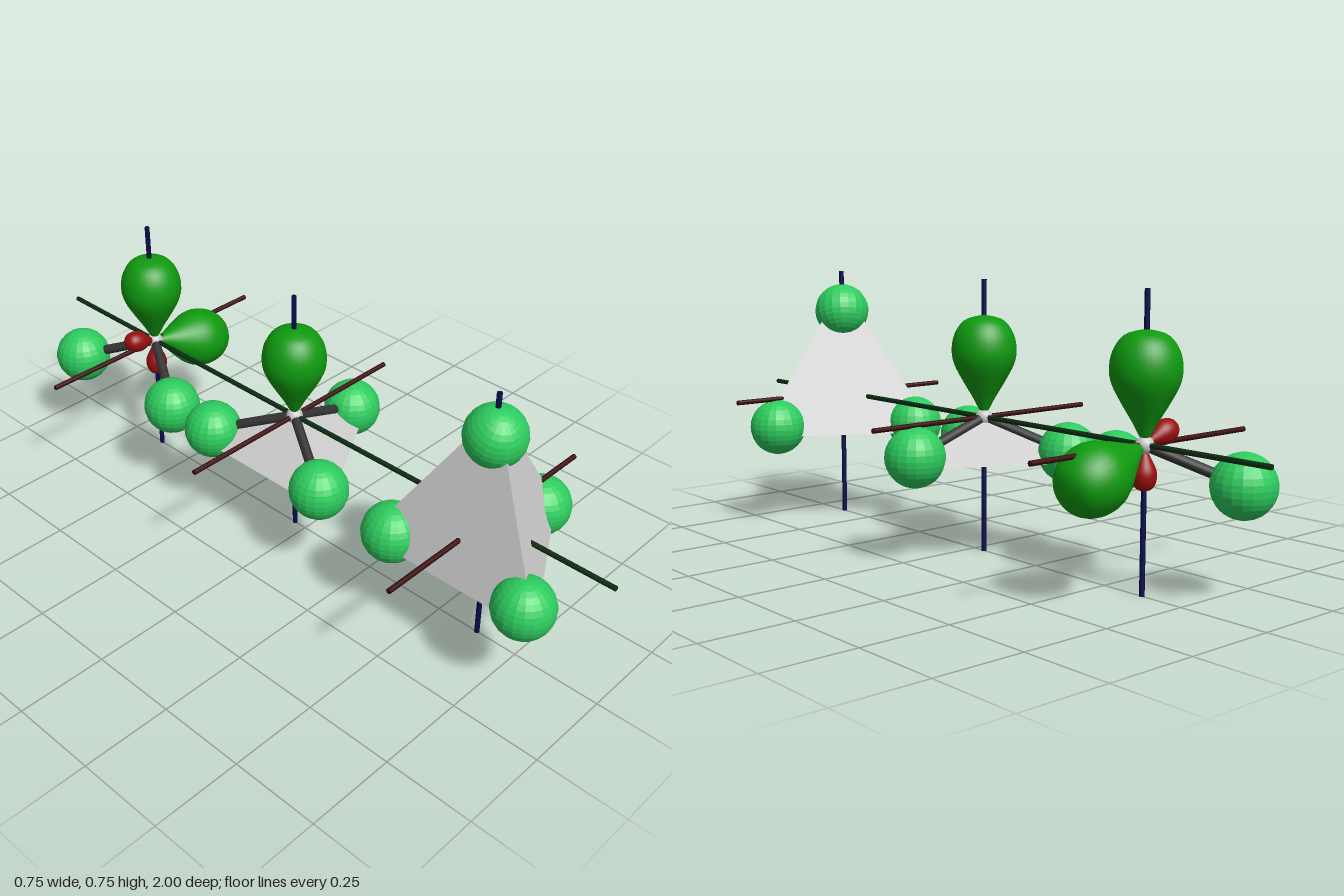
import * as THREE from 'three';
import { ConvexGeometry } from 'three/addons/geometries/ConvexGeometry.js';

const UP = new THREE.Vector3(0, 1, 0);
const mat = (color, extra = {}) => {
  const m = new THREE.MeshStandardMaterial({ color });
  return Object.assign(m, extra);
};

// The four tetrahedral directions: up, +x, and two toward -x
const S = Math.sqrt(8) / 3;
const DIRS = [UP.clone()];
for (let i = 0; i < 3; i++) {
  const a = (i * Math.PI * 2) / 3;
  DIRS.push(new THREE.Vector3(S * Math.cos(a), -1 / 3, S * Math.sin(a)));
}

const BOND = 0.252, CORNER = 0.327, AXIS = 0.746, CENTRE_Y = 0.373;

export function createModel() {
  const model = new THREE.Group();
  model.name = 'tetrahedralShapes';

  const atomMat = mat(0x2dcc5e, { flatShading: true });
  const lobeMat = mat(0x0f9a0f);
  const tailMat = mat(0x990f0f);
  const rodMat = mat(0x333333);
  const greyMat = mat(0xcccccc);
  const solidMat = mat(0xcccccc, { flatShading: true });
  const axisMats = { x: mat(0x3a0a0a), y: mat(0x0a0a4a), z: mat(0x0c2c12) };

  // Teardrop profile, unit length and unit radius
  const drop = new THREE.SplineCurve([
    [0, 0], [0.16, 0.08], [0.36, 0.2], [0.66, 0.36], [0.92, 0.52],
    [1, 0.66], [0.9, 0.82], [0.58, 0.95], [0, 1],
  ].map(([x, y]) => new THREE.Vector2(x, y))).getPoints(28);
  drop.forEach((p) => { p.x = Math.max(p.x, 0); });
  const dropGeo = new THREE.LatheGeometry(drop, 32);

  const atomGeo = new THREE.SphereGeometry(0.081, 20, 16);
  const coreGeo = new THREE.SphereGeometry(0.023, 16, 12);
  const rodGeo = new THREE.CylinderGeometry(0.014, 0.014, BOND, 12);
  const axisGeo = new THREE.CylinderGeometry(0.007, 0.007, AXIS, 12);

  function add(parent, name, geo, material) {
    const mesh = new THREE.Mesh(geo, material);
    mesh.name = name;
    parent.add(mesh);
    return mesh;
  }

  function addAxes(g) {
    add(g, 'xAxis', axisGeo, axisMats.x).rotation.z = Math.PI / 2;
    add(g, 'yAxis', axisGeo, axisMats.y);
    add(g, 'zAxis', axisGeo, axisMats.z).rotation.x = Math.PI / 2;
  }

  // Outer ball joined to the core by a rod
  function addBond(g, dir) {
    const rod = add(g, 'bondRod', rodGeo, rodMat);
    rod.quaternion.setFromUnitVectors(UP, dir);
    rod.position.copy(dir).multiplyScalar(BOND / 2);
    const ball = add(g, 'outerBall', atomGeo, atomMat);
    ball.position.copy(dir).multiplyScalar(BOND);
    if (dir.y > 0.9) ball.rotation.set(0.35, 0, 0.2);
  }

  // Large lobe with its small opposite lobe
  function addLobe(g, dir) {
    const lobe = add(g, 'largeLobe', dropGeo, lobeMat);
    lobe.scale.set(0.088, 0.278, 0.088);
    lobe.quaternion.setFromUnitVectors(UP, dir);
    const tail = add(g, 'smallLobe', dropGeo, tailMat);
    tail.scale.set(0.031, 0.113, 0.031);
    if (dir.y > 0.9) tail.rotation.x = Math.PI;
    else tail.quaternion.setFromUnitVectors(UP, dir.clone().negate());
  }

  // One group per shape: its place, number of lobes, and grey solid's apex height
  const shapes = [
    { name: 'fourBallShape', z: 0.627, lobes: [], apex: CORNER },
    { name: 'threeBallShape', z: -0.04, lobes: [0], apex: 0 },
    { name: 'twoBallShape', z: -0.627, lobes: [0, 1], apex: null },
  ];

  for (const { name, z, lobes, apex } of shapes) {
    const g = new THREE.Group();
    g.name = name;
    g.position.set(0, CENTRE_Y, z);
    addAxes(g);
    add(g, 'core', coreGeo, greyMat);
    DIRS.forEach((dir, i) => (lobes.includes(i) ? addLobe : addBond)(g, dir));
    if (apex !== null) {
      const corners = DIRS.slice(1).map((d) => d.clone().multiplyScalar(CORNER));
      corners.push(new THREE.Vector3(0, apex, 0));
      add(g, 'greyPyramid', new ConvexGeometry(corners), solidMat);
    }
    model.add(g);
  }
  return model;
}
